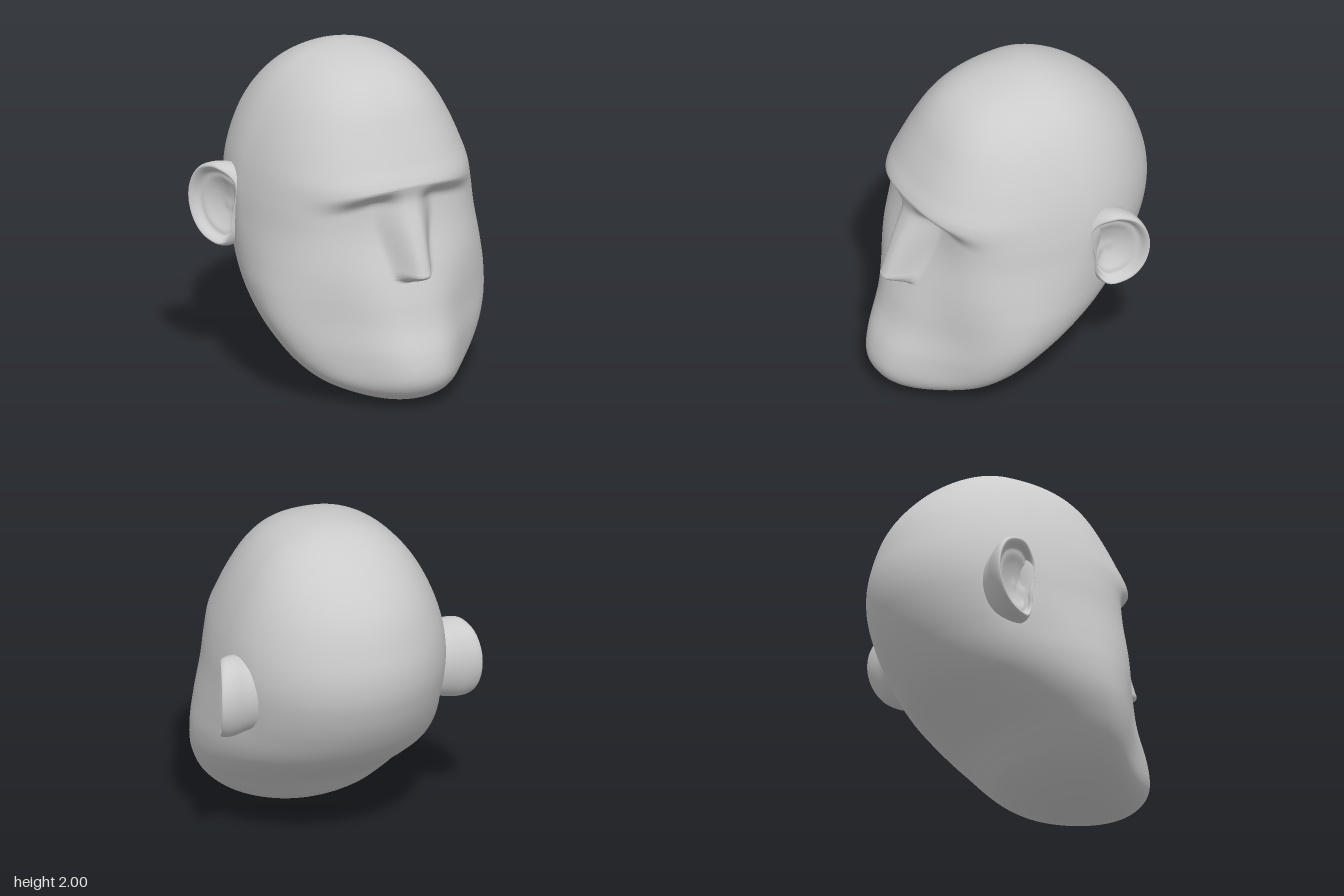
import * as THREE from 'three';

const { smoothstep, clamp } = THREE.MathUtils;

// Smooth curve through [key, value] pairs (cubic Hermite, keys ascending)
function curve(pts) {
  const slope = (i) => {
    const a = pts[Math.max(i - 1, 0)], b = pts[Math.min(i + 1, pts.length - 1)];
    return (b[1] - a[1]) / (b[0] - a[0]);
  };
  return (k) => {
    let i = 0;
    while (i < pts.length - 2 && k > pts[i + 1][0]) i++;
    const [k0, v0] = pts[i], [k1, v1] = pts[i + 1], h = k1 - k0;
    const t = clamp((k - k0) / h, 0, 1), t2 = t * t, t3 = t2 * t;
    return v0 * (2 * t3 - 3 * t2 + 1) + v1 * (3 * t2 - 2 * t3)
      + h * (slope(i) * (t3 - 2 * t2 + t) + slope(i + 1) * (t3 - t2));
  };
}

// Height mapped to an angle, so that the crown and the base close roundly
const angleOf = (y) => Math.acos(clamp(1 - y, -1, 1));
const byHeight = (pts) => {
  const f = curve(pts.map(([y, v]) => [angleOf(y), v]));
  return (y) => f(angleOf(y));
};

// Skin over closed loops of points
function loft(rows, cols, point) {
  const pos = [], index = [];
  for (let i = 0; i < rows; i++) {
    for (let j = 0; j < cols; j++) {
      pos.push(...point(i, j));
      if (i === rows - 1) continue;
      const a = i * cols + j, b = i * cols + (j + 1) % cols;
      index.push(a, a + cols, b, b, a + cols, b + cols);
    }
  }
  const geo = new THREE.BufferGeometry();
  geo.setAttribute('position', new THREE.Float32BufferAttribute(pos, 3));
  geo.setIndex(index);
  geo.computeVertexNormals();
  return geo;
}

// Skull profiles by height
const front = byHeight([[0, 0.52], [0.045, 0.75], [0.11, 0.845], [0.2, 0.883], [0.335, 0.86],
  [0.5, 0.785], [0.65, 0.738], [0.8, 0.705], [1, 0.675], [1.2, 0.67], [1.33, 0.672], [1.45, 0.61],
  [1.61, 0.525], [1.76, 0.435], [1.87, 0.325], [1.95, 0.165], [2, -0.15]]);
const back = byHeight([[0, 0.52], [0.05, 0.19], [0.16, -0.025], [0.24, -0.11], [0.34, -0.215],
  [0.46, -0.385], [0.62, -0.6], [0.84, -0.765], [1.05, -0.855], [1.21, -0.88], [1.37, -0.86],
  [1.6, -0.775], [1.8, -0.61], [1.935, -0.41], [2, -0.15]]);
const halfWidth = byHeight([[0, 0], [0.02, 0.18], [0.07, 0.335], [0.135, 0.46], [0.24, 0.575],
  [0.36, 0.655], [0.495, 0.71], [0.655, 0.73], [0.81, 0.722], [1.025, 0.702], [1.2, 0.685],
  [1.4, 0.643], [1.6, 0.568], [1.78, 0.46], [1.9, 0.335], [1.97, 0.19], [2, 0]]);
const widestZ = byHeight([[0, 0.52], [0.2, 0.37], [0.5, 0.21], [0.8, 0.05], [1.1, -0.12],
  [1.45, -0.18], [2, -0.15]]);

// Face features by height
const chin = byHeight([[0, 0], [0.1, 0.15], [0.25, 0.21], [0.5, 0.13], [0.8, 0.03], [1.05, 0], [2, 0]]);
const socket = (y) => 0.125 * (1 - smoothstep(y, 1.22, 1.345)) * smoothstep(y, 0.6, 1.28);
const noseRidge = curve([[0.755, 0.69], [0.782, 0.775], [0.81, 0.825], [0.84, 0.82], [1.03, 0.748],
  [1.2, 0.675], [1.26, 0.66], [1.34, 0.67]]);

function headGeometry() {
  // Rows follow the round ends, with extra ones at the nose tip and the brow
  const ys = [];
  for (let i = 0; i <= 150; i++) ys.push(1 - Math.cos((Math.PI * i) / 150));
  for (let i = 0; i < 14; i++) ys.push(0.7501 + i * 0.0071, 1.2401 + i * 0.0083);
  ys.sort((a, b) => a - b);
  const cols = 240;

  return loft(ys.length, cols, (i, j) => {
    const y = ys[i], a = (j / cols) * Math.PI * 2;
    const c = Math.cos(a), s = Math.sin(a), w = halfWidth(y), zw = widestZ(y);
    const x = w * c, ax = Math.abs(x);
    if (s <= 0) {
      // Hollow under the bowl of each ear
      const z = zw + (zw - back(y)) * s;
      const dent = 0.05 * Math.exp(-(((z + 0.33) / 0.08) ** 2) - ((y - 1.03) / 0.13) ** 2);
      return [x - Math.sign(x) * dent, y, z];
    }
    // Fuller temples than jaw
    const n = 2 + 0.4 * smoothstep(y, 0.3, 1.3);
    const reach = Math.max(0, 1 - Math.abs(c) ** n) ** (1 / n);
    const bump = chin(y), base = front(y) - bump;
    let z = zw + (base - zw) * reach + bump * s * Math.exp(-((ax / 0.34) ** 3));
    // Eye sockets under a brow that droops to the sides
    z -= socket(y + 0.25 * x * x) * (1 - smoothstep(ax, 0.12, 0.64));
    // Nose with a rounded underside, spreading into the sockets at its root
    const ny = y - 1.5 * x * x;
    if (ny > 0.755 && y < 1.34) {
      const rise = Math.max(0, noseRidge(ny) - (base + bump - socket(y)));
      z += rise * (1 - smoothstep(ax, 0.02, 0.145 + 0.07 * smoothstep(y, 0.8, 1.2)));
    }
    return [x, y, z];
  });
}

// Ear outline as (z, y), from the top round the back to the lobe and the front
const earOutline = new THREE.CatmullRomCurve3([[-0.34, 1.315], [-0.45, 1.275], [-0.515, 1.17],
  [-0.525, 1.04], [-0.48, 0.91], [-0.4, 0.83], [-0.28, 0.805], [-0.23, 0.87], [-0.22, 1],
  [-0.2, 1.12], [-0.2, 1.22], [-0.26, 1.29]].map(([z, y]) => new THREE.Vector3(0, y, z)), true);

// Ear loops: size and depth from the rim, running from the root over the helix into the bowl
const earSize = curve([[0, 0.8], [1, 0.92], [2, 0.98], [3, 1], [4, 0.985], [5, 0.93], [6, 0.85],
  [7, 0.77], [8, 0.64], [9, 0.45], [10, 0.2], [11, 0]]);
const earDepth = curve([[0, -0.32], [1, -0.16], [2, -0.1], [3, -0.055], [4, -0.018], [5, 0.004],
  [6, -0.01], [7, -0.045], [8, -0.055], [9, -0.08], [10, -0.1], [11, -0.1]]);

function earGeometry(side) {
  const cols = 64, rows = 56;
  return loft(rows, cols, (i, j) => {
    const k = (i / (rows - 1)) * 11, size = earSize(k);
    const p = earOutline.getPoint(((side * j + cols) % cols) / cols);
    const z = -0.33 + (p.z + 0.33) * size, y = 1.04 + (p.y - 1.04) * size;
    // The rim plane swings out to the back and sinks into the cheek at the front
    const rim = 0.718 + 0.35 * (-0.2 - z) - 0.035 * smoothstep(z, -0.32, -0.2);
    return [side * (rim + earDepth(k)), y, z];
  });
}

export function createModel() {
  const group = new THREE.Group();
  const skin = new THREE.MeshStandardMaterial({ color: 0xcccccc });
  const add = (name, geometry) => {
    const mesh = new THREE.Mesh(geometry, skin);
    mesh.name = name;
    group.add(mesh);
  };
  add('head', headGeometry());
  add('leftEar', earGeometry(1));
  add('rightEar', earGeometry(-1));
  return group;
}
